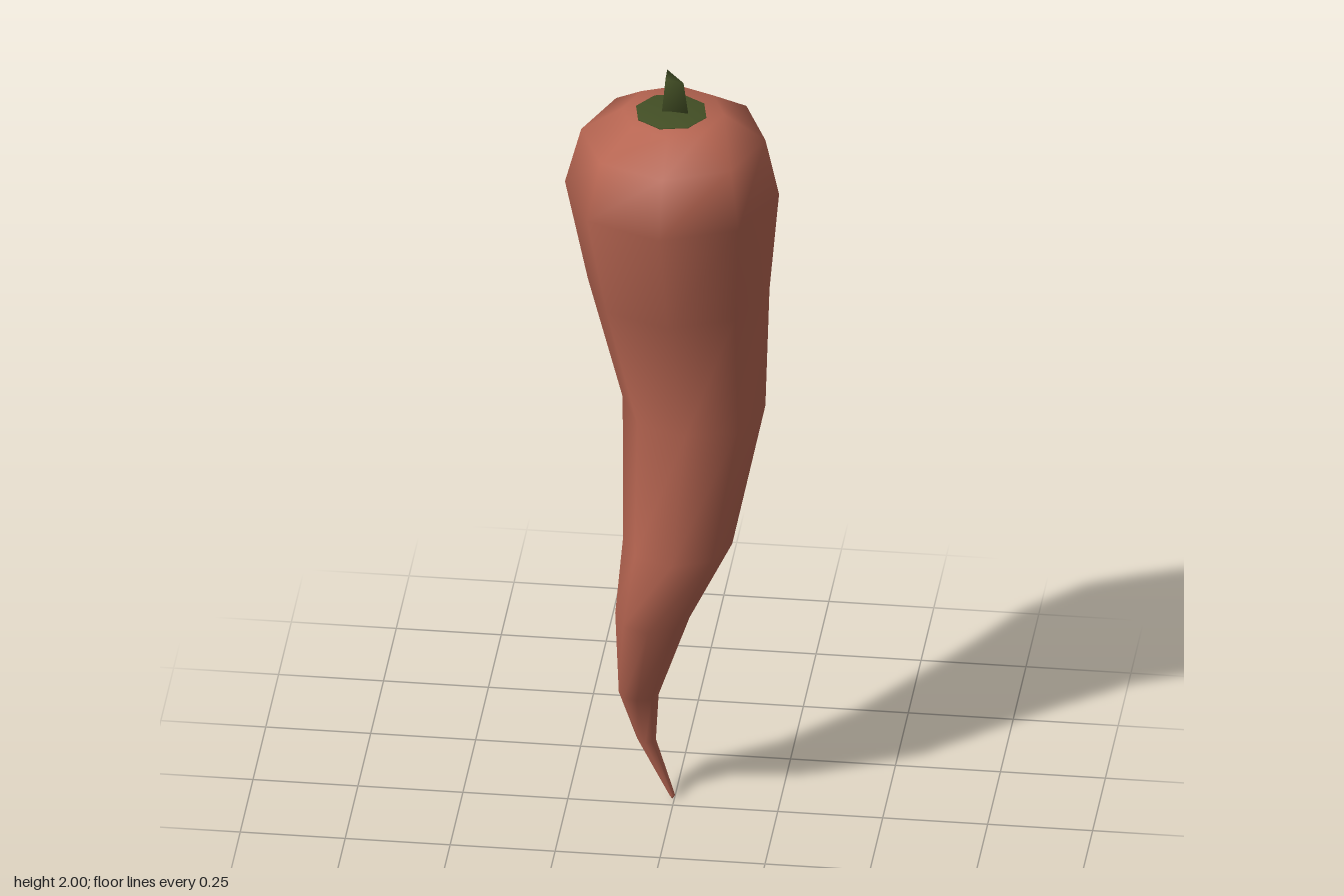
import * as THREE from 'three';

// Closed skin through elliptical rings [y, xMin, xMax, zMin, zMax], listed bottom to top
function loft(rings, sides, topY, bottomY, turn = 0) {
  const pos = [], index = [];
  for (const [y, x0, x1, z0, z1] of rings) {
    for (let i = 0; i < sides; i++) {
      const a = turn + (i / sides) * Math.PI * 2;
      pos.push((x0 + x1) / 2 + Math.cos(a) * (x1 - x0) / 2, y, (z0 + z1) / 2 + Math.sin(a) * (z1 - z0) / 2);
    }
  }
  for (let r = 0; r < rings.length - 1; r++) {
    for (let i = 0; i < sides; i++) {
      const a = r * sides + i, b = r * sides + (i + 1) % sides;
      index.push(a, a + sides, b, b, a + sides, b + sides);
    }
  }
  const centre = ([, x0, x1, z0, z1], y) => pos.push((x0 + x1) / 2, y, (z0 + z1) / 2);
  const last = (rings.length - 1) * sides, low = rings.length * sides;
  centre(rings[0], bottomY);
  centre(rings[rings.length - 1], topY);
  for (let i = 0; i < sides; i++) {
    const j = (i + 1) % sides;
    index.push(low, i, j, low + 1, last + j, last + i);
  }
  const g = new THREE.BufferGeometry();
  g.setAttribute('position', new THREE.Float32BufferAttribute(pos, 3));
  g.setIndex(index);
  g.computeVertexNormals();
  return g;
}

export function createModel() {
  const group = new THREE.Group();
  const red = new THREE.MeshStandardMaterial({ color: 0xb86652 });
  red.name = 'pepper red';
  const green = new THREE.MeshStandardMaterial({ color: 0x434f25 });
  green.name = 'stem green';
  const add = (name, geometry, material) => {
    const mesh = new THREE.Mesh(geometry, material);
    mesh.name = name;
    group.add(mesh);
    return mesh;
  };

  // Curling, tapering eight-sided fruit
  add('pepperBody', loft([
    [0.01, -0.012, 0.002, -0.037, -0.024],
    [0.155, -0.09, -0.045, -0.062, -0.016],
    [0.285, -0.132, -0.037, -0.066, 0.012],
    [0.54, -0.132, 0.045, -0.045, 0.13],
    [0.74, -0.115, 0.145, -0.1, 0.155],
    [1.08, -0.125, 0.215, -0.22, 0.128],
    [1.4, -0.208, 0.225, -0.262, 0.174],
    [1.69, -0.256, 0.254, -0.248, 0.263],
    [1.837, -0.217, 0.222, -0.21, 0.23],
    [1.896, -0.12, 0.122, -0.12, 0.125],
  ], 8, 1.903, 0), red);

  // Thin leafy cap lying on the shoulder
  add('calyx', loft([
    [1.895, -0.09, 0.085, -0.075, 0.095],
    [1.9, -0.09, 0.085, -0.075, 0.095],
  ], 8, 1.906, 1.893, 0.2), green);

  // Three-sided stalk narrowing to a tilted cut
  const base = [[-0.024, 0.02], [0.04, 0.021], [-0.024, -0.055]];
  const tip = [[-0.015, 1.993, 0.02], [0.028, 1.985, 0.02], [-0.015, 2, -0.014]];
  const stalk = new THREE.BufferGeometry();
  stalk.setAttribute('position', new THREE.Float32BufferAttribute(
    [...base.flatMap(([x, z]) => [x, 1.898, z]), ...tip.flat()], 3));
  stalk.setIndex([0, 1, 4, 0, 4, 3, 1, 2, 5, 1, 5, 4, 2, 0, 3, 2, 3, 5, 3, 4, 5, 0, 2, 1]);
  stalk.computeVertexNormals();
  add('stalk', stalk, green);

  return group;
}
